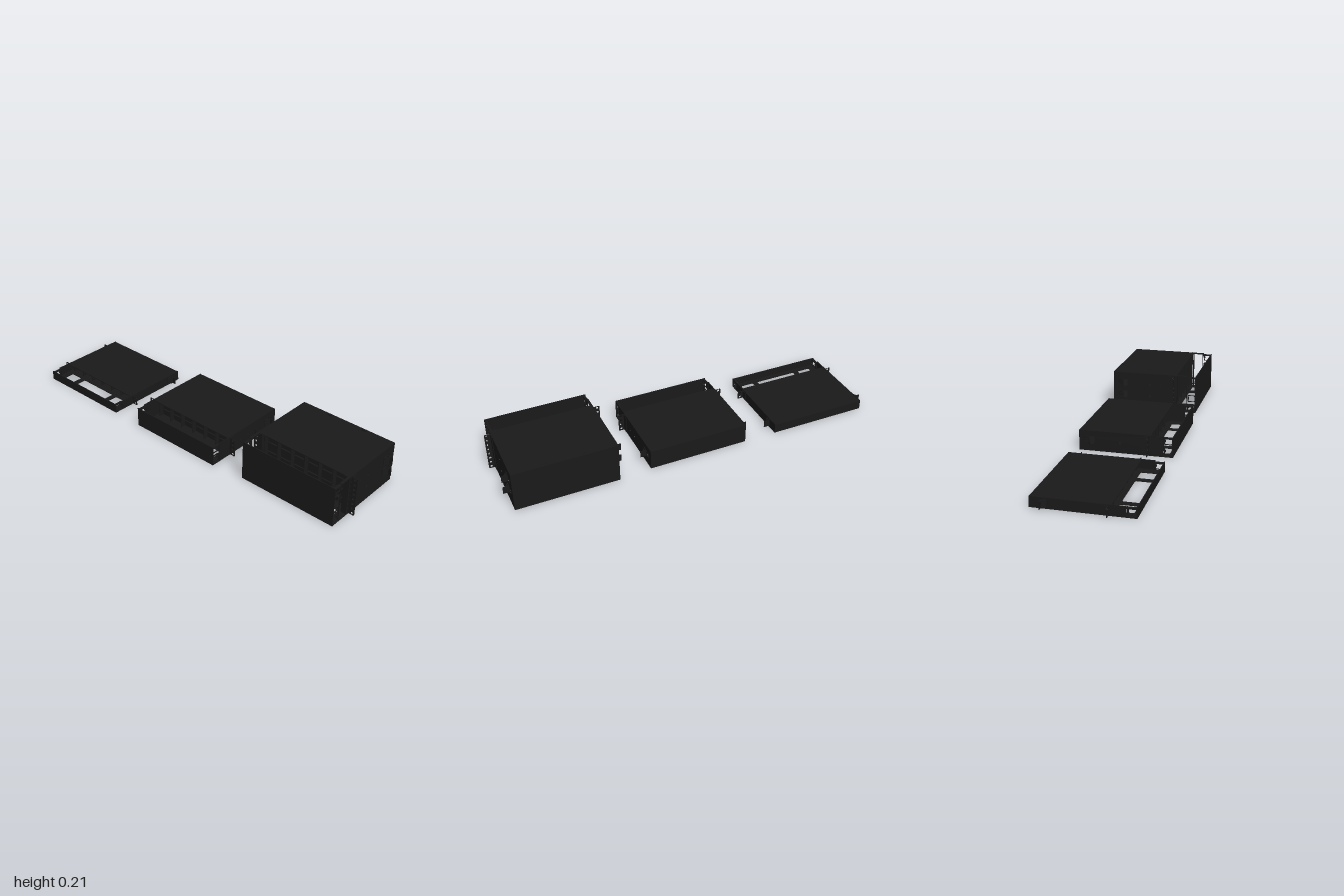
import * as THREE from 'three';

const black = new THREE.MeshStandardMaterial({ color: 0x1a1a1a, side: THREE.DoubleSide });
const T = 0.004; // sheet thickness

function add(group, name, geo, x = 0, y = 0, z = 0) {
  const m = new THREE.Mesh(geo, black);
  m.name = name;
  m.position.set(x, y, z);
  group.add(m);
  return m;
}

const box = (g, name, w, h, d, x, y, z) => add(g, name, new THREE.BoxGeometry(w, h, d), x, y, z);

// Rounded rectangle contour from two corners
function roundRect(P, u0, v0, u1, v1, r) {
  const p = new P();
  p.moveTo(u0 + r, v0);
  p.lineTo(u1 - r, v0); p.quadraticCurveTo(u1, v0, u1, v0 + r);
  p.lineTo(u1, v1 - r); p.quadraticCurveTo(u1, v1, u1 - r, v1);
  p.lineTo(u0 + r, v1); p.quadraticCurveTo(u0, v1, u0, v1 - r);
  p.lineTo(u0, v0 + r); p.quadraticCurveTo(u0, v0, u0 + r, v0);
  return p;
}

function circle(u, v, r) {
  const p = new THREE.Path();
  p.absarc(u, v, r, 0, Math.PI * 2, true);
  return p;
}

function sheet(shape, holes = [], depth = T) {
  shape.holes.push(...holes);
  return new THREE.ExtrudeGeometry(shape, { depth, bevelEnabled: false, curveSegments: 8 });
}

// Sheet lying flat: shape coordinates are (x, -z)
const flat = (shape, holes) => sheet(shape, holes).rotateX(-Math.PI / 2);
// Sheet standing sideways: shape coordinates are (z, y), centred on its x
const upright = (shape, holes, d = T) => sheet(shape, holes, d).translate(0, 0, -d / 2).rotateY(-Math.PI / 2);

function rect(u0, v0, u1, v1) {
  return new THREE.Shape([[u0, v0], [u1, v0], [u1, v1], [u0, v1]].map(p => new THREE.Vector2(...p)));
}

// Cable ring with a notched inner edge
function cableRing() {
  const s = roundRect(THREE.Shape, -0.022, -0.019, 0.022, 0.019, 0.006);
  const h = new THREE.Path([
    [-0.015, -0.016], [0.015, -0.016], [0.018, -0.012], [0.018, 0.012], [0.015, 0.016],
    [-0.015, 0.016], [-0.018, 0.010], [-0.013, 0.004], [-0.013, -0.004], [-0.018, -0.010],
  ].map(p => new THREE.Vector2(...p)));
  return upright(s, [h], 0.005);
}

function createEnclosure({ name, x, units, height: H, front, back, wallEnd, lid, lidBack, earFront, earRear, entryRows }) {
  const g = new THREE.Group();
  g.name = name;
  g.position.x = x;
  const W = 0.53, hw = W / 2;

  // Floor with three cable openings near the front
  const h0 = -(front - 0.024), h1 = -(front - 0.108);
  const floorHoles = [[-0.222, -0.147], [-0.118, 0.118], [0.147, 0.222]]
    .map(([a, b]) => roundRect(THREE.Path, a, h0, b, h1, 0.008));
  add(g, 'floor', flat(rect(-hw, -front, hw, -back), floorHoles));

  // Front door, back wall and lid
  box(g, 'frontDoor', W, H - 0.004, T, 0, H / 2, front - T / 2);
  box(g, 'doorBottomLip', W, 0.008, 0.02, 0, 0.004, front - 0.012);
  box(g, 'backWall', W, H - 0.002, T, 0, (H - 0.002) / 2, back + T / 2);
  const notches = lidBack === back
    ? [-0.1, 0.1].map(c => roundRect(THREE.Path, c - 0.014, -back - 0.019, c + 0.014, -back - 0.011, 0.003)) : [];
  add(g, 'lid', flat(rect(-hw, -lid, hw, -lidBack), notches), 0, H - T, 0);
  if (lidBack !== back) box(g, 'rearTop', W, T, lidBack - back, 0, H - T / 2 - 0.002, (back + lidBack) / 2);

  // Inner patch panel with dividers
  const pz = earFront - 0.035;
  box(g, 'patchPanel', W - 2 * T, H - 2 * T, T, 0, H / 2, pz);
  for (let i = 0; i <= 6; i++)
    box(g, 'panelDivider', 0.004, H - 2 * T, 0.03, (i - 3) * 0.08, H / 2, pz + 0.015);
  for (let i = 0; i < 6; i++) for (let u = 0; u < units; u++)
    box(g, 'adapterPlate', 0.066, 0.028, 0.008, (i - 2.5) * 0.08, (u + 0.5) * H / units, pz + 0.005);

  for (const s of [-1, 1]) {
    // Side wall with round cable entries and screw holes
    const holes = [];
    for (const y of entryRows) {
      holes.push(circle(back + 0.039, y, 0.014));
      holes.push(circle(back + 0.212, y - 0.006, 0.006), circle(back + 0.272, y - 0.006, 0.003));
    }
    add(g, 'sideWall', upright(rect(back, 0, wallEnd, H), holes), s * (hw - T / 2), 0, 0);
    for (const y of entryRows) {
      box(g, 'entryCrossBar', T, 0.003, 0.028, s * (hw - T / 2), y, back + 0.039);
      box(g, 'entryCrossPost', T, 0.028, 0.003, s * (hw - T / 2), y, back + 0.039);
    }

    // Column of cable rings behind the door
    for (let u = 0; u < units; u++)
      add(g, 'cableRing', cableRing(), s * (hw - 0.008), (u + 0.55) * H / units, front - 0.025);
    box(g, 'hingePost', 0.006, H - 0.006, 0.003, s * (hw - 0.008), H / 2, front - 0.053);
    box(g, 'hingeCap', 0.012, 0.008, 0.046, s * (hw - 0.008), H - 0.009, front - 0.026);

    // Top rail and post bridging the open side
    if (wallEnd < lid) {
      box(g, 'topRail', 0.012, 0.006, front - 0.047 - lid, s * (hw - 0.006), H - 0.003, (front - 0.047 + lid) / 2);
      box(g, 'sidePost', 0.03, H, 0.002, s * (hw - 0.015), H / 2, lid + 0.002);
    }

    // Front mounting ear, slotted for each rack unit
    const slots = [];
    for (let u = 0; u < units; u++) for (const k of [0.25, 0.75]) {
      const y = (u + k) * H / units;
      slots.push(roundRect(THREE.Path, 0.013, y - 0.006, 0.025, y + 0.006, 0.005));
    }
    const ear = add(g, 'frontEar', sheet(roundRect(THREE.Shape, 0, 0.003, 0.032, H - 0.005, 0.004), slots, 0.003),
      s * hw, 0, earFront);
    ear.scale.x = s;
    box(g, 'earFlange', 0.003, H - 0.008, 0.03, s * (hw + 0.0015), H / 2, earFront - 0.014);

    // Rear cable guides: outer plate with a flared web back to the wall
    const n = Math.max(1, entryRows.length);
    for (let i = 0; i < n; i++) {
      const y = entryRows[i] ?? H / 2, gh = Math.min(0.037, H - 0.012);
      box(g, 'rearGuidePlate', 0.032, gh, 0.003, s * (hw + 0.016), y, earRear);
      const web = box(g, 'rearGuideWeb', 0.026, gh, 0.003, s * (hw + 0.009), y, earRear + 0.012);
      web.rotation.y = s * 0.95;
      box(g, 'rearGuideFoot', 0.003, gh, 0.028, s * (hw + 0.0015), y, earRear + 0.014);
    }
  }
  return g;
}

export function createModel() {
  const model = new THREE.Group();
  model.name = 'rackEnclosures';
  const low = { front: 0.247, back: -0.233, wallEnd: 0.2, lid: 0.135, lidBack: -0.175, earFront: 0.12, earRear: -0.175 };
  model.add(createEnclosure({ ...low, name: 'smallEnclosure', x: -0.703, units: 1, height: 0.052, entryRows: [] }));
  model.add(createEnclosure({ ...low, name: 'mediumEnclosure', x: 0.002, units: 2, height: 0.106, entryRows: [0.058] }));
  model.add(createEnclosure({
    name: 'largeEnclosure', x: 0.702, units: 4, height: 0.212, front: 0.226, back: -0.249, wallEnd: 0.105,
    lid: 0.116, lidBack: -0.249, earFront: 0.1, earRear: -0.19, entryRows: [0.086, 0.153],
  }));
  return model;
}
